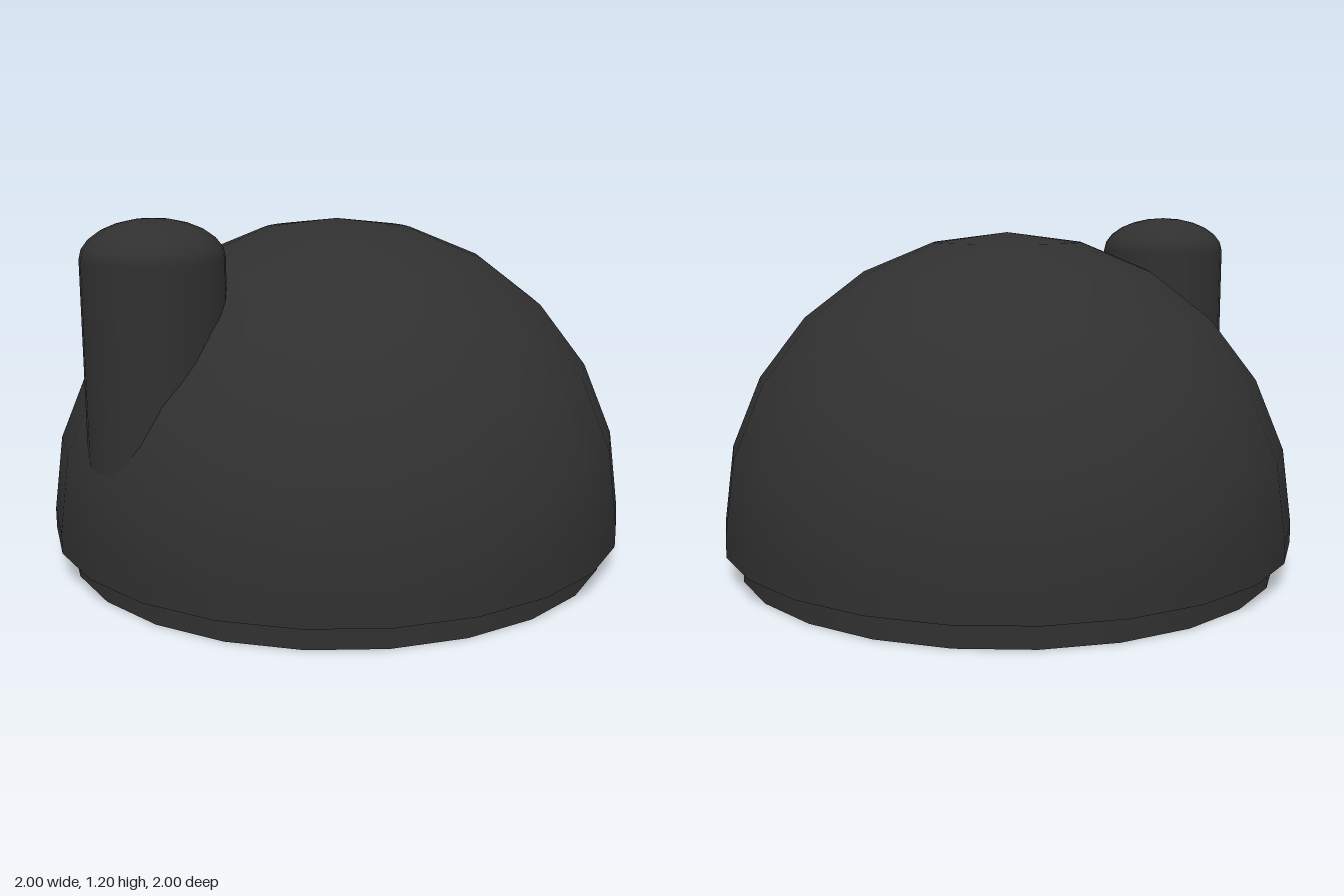
import * as THREE from 'three';

const SIDES = 24;

export function createModel() {
  const group = new THREE.Group();
  const charcoal = new THREE.MeshStandardMaterial({ color: 0x303030 });

  function add(name, geometry, x, y) {
    const mesh = new THREE.Mesh(geometry, charcoal);
    mesh.name = name;
    mesh.position.set(x, y, 0);
    group.add(mesh);
    return mesh;
  }
  // Upper half of a unit sphere, six rings high
  const hemisphere = () => new THREE.SphereGeometry(1, SIDES, 6, 0, Math.PI * 2, 0, Math.PI / 2);

  // Recessed plinth
  add('base', new THREE.CylinderGeometry(0.945, 0.945, 0.1, SIDES), 0, 0.05);

  // Straight rim with the dome rising from it
  add('rim', new THREE.CylinderGeometry(1, 1, 0.07, SIDES), 0, 0.125);
  add('dome', hemisphere(), 0, 0.16);

  // Chimney sunk into the side of the dome, with a rounded cap
  const chimneyX = -0.735, radius = 0.225, shaftTop = 1.08, shaftBottom = 0.25;
  const shaft = new THREE.CylinderGeometry(radius, radius, shaftTop - shaftBottom, SIDES);
  add('chimney', shaft, chimneyX, (shaftTop + shaftBottom) / 2);
  add('chimneyCap', hemisphere(), chimneyX, shaftTop).scale.set(radius, 0.123, radius);

  return group;
}
